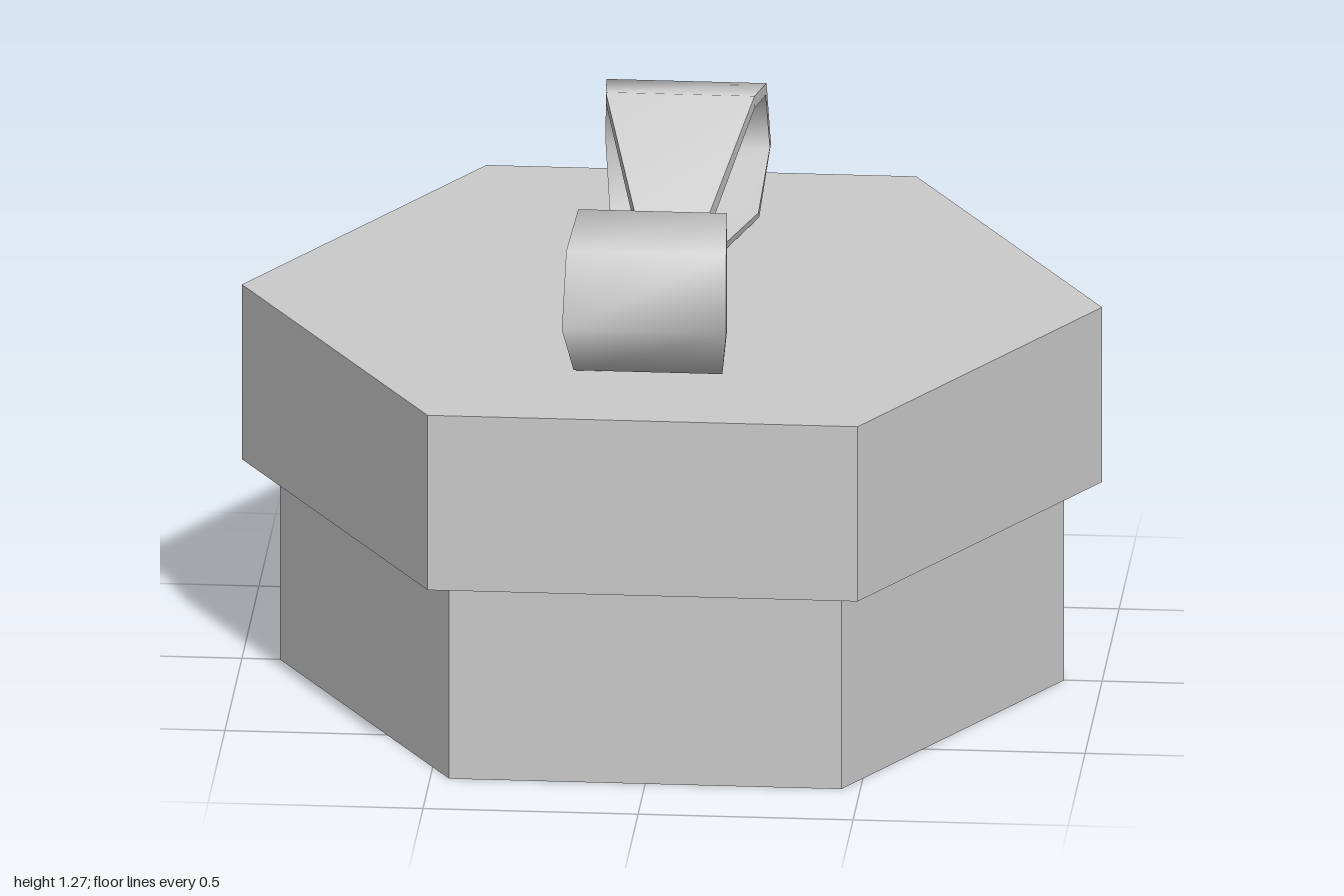
import * as THREE from 'three';
import { mergeGeometries } from 'three/addons/utils/BufferGeometryUtils.js';

const material = new THREE.MeshStandardMaterial({ color: 0xcccccc });

// Six-sided prism with corners on the x axis
function hexPrism(name, radius, bottom, top) {
  const geometry = new THREE.CylinderGeometry(radius, radius, top - bottom, 6, 1, false, Math.PI / 6).toNonIndexed();
  geometry.computeVertexNormals();
  const mesh = new THREE.Mesh(geometry, material);
  mesh.name = name;
  mesh.position.y = (bottom + top) / 2;
  return mesh;
}

// Smooth band of quads between two rows of points
function strip(a, b) {
  const positions = [];
  const index = [];
  a.forEach((p, i) => {
    positions.push(...p, ...b[i]);
    const k = 2 * i;
    if (i < a.length - 1) index.push(k, k + 2, k + 1, k + 1, k + 2, k + 3);
  });
  const geometry = new THREE.BufferGeometry();
  geometry.setAttribute('position', new THREE.Float32BufferAttribute(positions, 3));
  geometry.setIndex(index);
  geometry.computeVertexNormals();
  return geometry;
}

// Ribbon loop: outer and inner outline as [z, y, half width], from the knot over the top and back
function loopGeometry() {
  const outer = [[0.02, 0.948, 0.037], [0.405, 1.272, 0.173], [0.594, 1.237, 0.186],
    [0.66, 1.065, 0.191], [0.543, 0.925, 0.173], [0.04, 0.925, 0.04]];
  const inner = [[0.083, 0.948, 0.056], [0.413, 1.241, 0.173], [0.571, 1.216, 0.186],
    [0.631, 1.065, 0.191], [0.52, 0.944, 0.173], [0.083, 0.948, 0.056]];
  const row = (outline, side) => outline.map(([z, y, w]) => [side * w, y, z]);
  const [outL, outR, inL, inR] = [row(outer, -1), row(outer, 1), row(inner, -1), row(inner, 1)];
  return mergeGeometries([
    strip(outL, outR), // outside
    strip(inR, inL), // inside
    strip(outR, inR), // edges
    strip(inL, outL),
    strip([outL[5], outL[0]], [outR[5], outR[0]]), // blunt end at the knot
  ]);
}

export function createModel() {
  const model = new THREE.Group();
  model.name = 'giftBox';
  model.add(hexPrism('box', 0.912, 0, 0.49), hexPrism('lid', 1, 0.49, 0.92));

  // Two loops facing each other across the lid
  const bow = new THREE.Group();
  bow.name = 'bow';
  bow.position.x = -0.013;
  const geometry = loopGeometry();
  ['frontLoop', 'backLoop'].forEach((name, i) => {
    const loop = new THREE.Mesh(geometry, material);
    loop.name = name;
    loop.rotation.y = i * Math.PI;
    bow.add(loop);
  });
  model.add(bow);
  return model;
}
